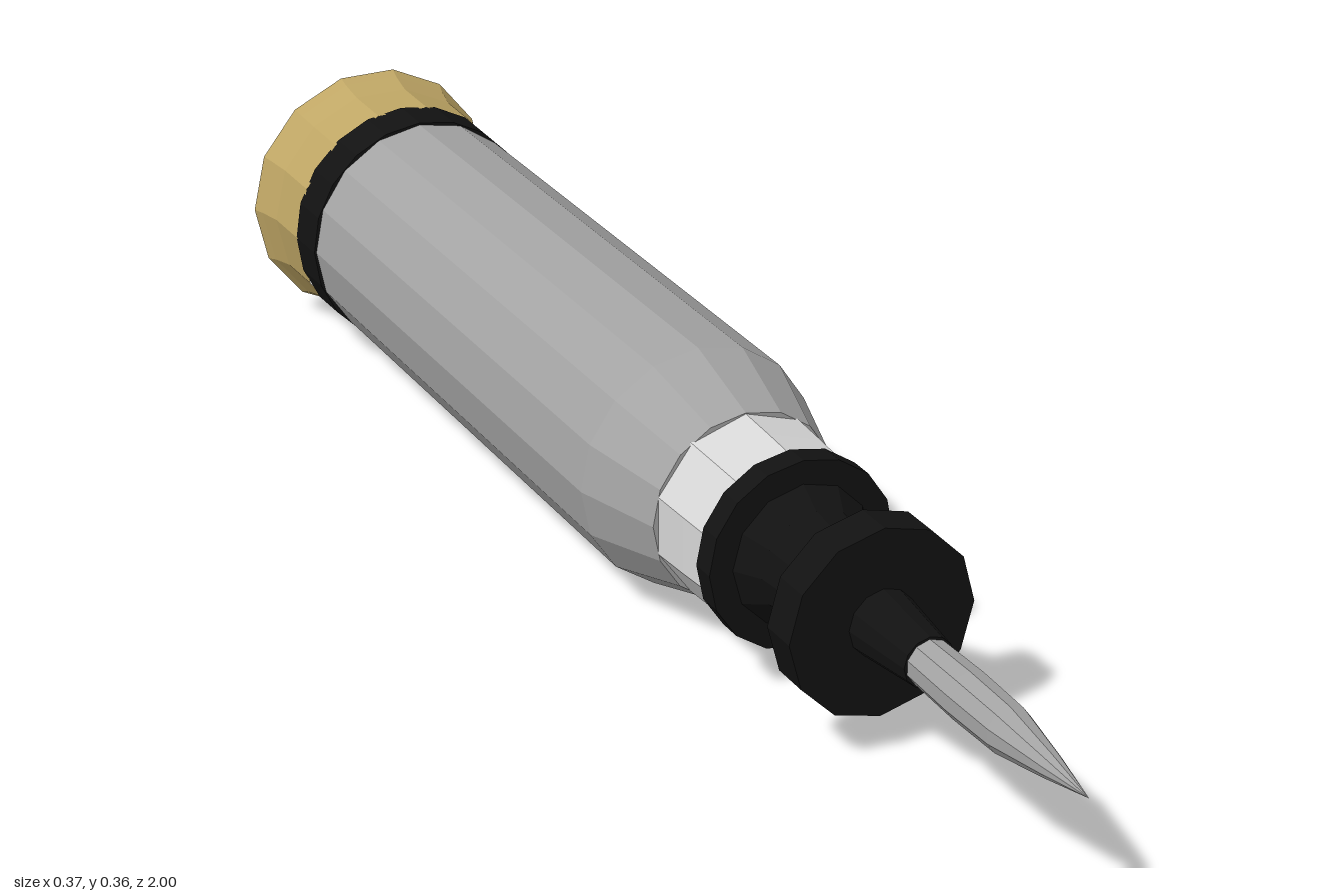
import * as THREE from 'three';

const AXIS_Y = 0.186;

function material(name, color) {
  const m = new THREE.MeshStandardMaterial({ color, flatShading: true });
  m.name = name;
  return m;
}

export function createModel() {
  const group = new THREE.Group();
  const steel = material('steel grey', 0xa3a3a3);
  const silver = material('light silver', 0xd6d6d6);
  const black = material('black', 0x121212);
  const brass = material('brass', 0xbfa665);

  // Turned part: profile of [radius, z], listed from back to front
  function turned(name, mat, sides, profile, twist = 0) {
    const points = profile.map(([r, z]) => new THREE.Vector2(r, z));
    const geo = new THREE.LatheGeometry(points, sides, twist);
    geo.rotateX(Math.PI / 2);
    const mesh = new THREE.Mesh(geo, mat);
    mesh.name = name;
    mesh.position.y = AXIS_Y;
    group.add(mesh);
    return mesh;
  }

  // Flared end cap with a shallow socket in its back face
  turned('endCap', brass, 14, [
    [0, -0.985], [0.034, -0.985], [0.036, -1], [0.186, -1], [0.18, -0.985],
    [0.172, -0.95], [0.171, -0.87],
  ], Math.PI / 14);
  turned('endButton', silver, 8, [[0, -0.996], [0.022, -0.996], [0.024, -0.984]]);

  // Dark band between cap and barrel
  turned('rearBand', black, 20, [[0.15, -0.875], [0.171, -0.875], [0.17, -0.81], [0.15, -0.81]]);

  // Long barrel with tapered shoulder
  turned('barrel', steel, 16, [[0.167, -0.815], [0.167, 0.06], [0.13, 0.19], [0, 0.19]]);

  // Pale collar
  turned('collar', silver, 10, [[0.129, 0.185], [0.126, 0.25], [0.122, 0.315]]);

  // Dark spool: ring, waist, flange and nose
  turned('spoolRing', black, 16, [[0, 0.305], [0.129, 0.305], [0.129, 0.34], [0.09, 0.34]]);
  turned('spool', black, 12, [
    [0.1, 0.335], [0.075, 0.375], [0.07, 0.42], [0.098, 0.48],
    [0.127, 0.485], [0.127, 0.54], [0.046, 0.54], [0.034, 0.65], [0, 0.65],
  ]);

  // Pointed tip
  turned('needleTip', steel, 10, [[0.031, 0.645], [0.033, 0.74], [0.031, 0.83], [0.016, 0.92], [0, 1]]);

  return group;
}
